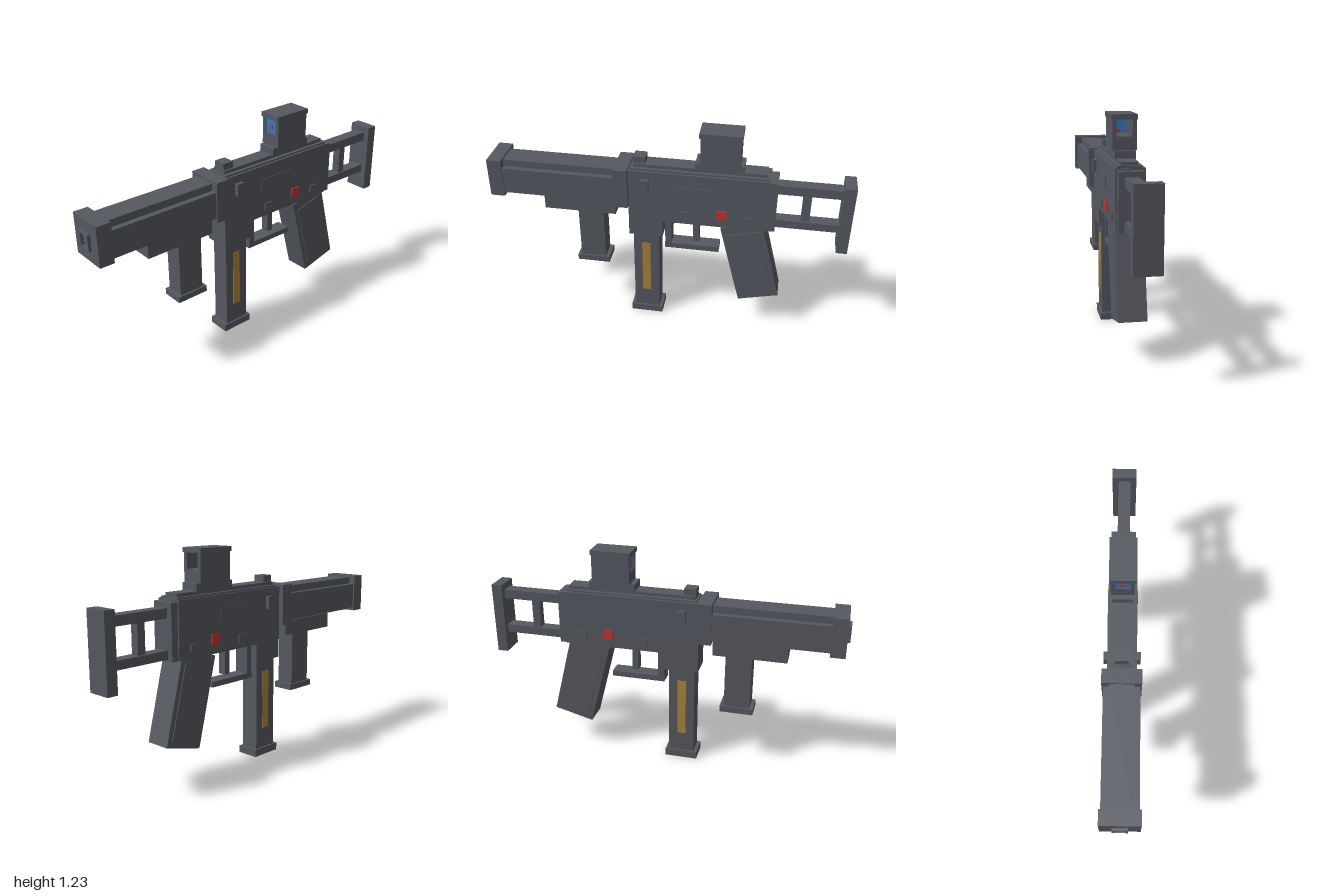
import * as THREE from 'three';

const mat = (name, color) => {
  const m = new THREE.MeshStandardMaterial({ color });
  m.name = name;
  return m;
};

export function createModel() {
  const gray = mat('gunmetal', 0x555860);
  const gold = mat('brass', 0xa8843c);
  const red = mat('red', 0xc03430);
  const blue = mat('lens blue', 0x3a78bc);
  const model = new THREE.Group();
  model.name = 'toyBlaster';

  const group = (name) => {
    const g = new THREE.Group();
    g.name = name;
    model.add(g);
    return g;
  };
  // Box from x and y ranges, centred on z with half width hz
  const box = (parent, name, x0, x1, y0, y1, hz, m = gray, z = 0) => {
    const b = new THREE.Mesh(new THREE.BoxGeometry(x1 - x0, y1 - y0, hz * 2), m);
    b.position.set((x0 + x1) / 2, (y0 + y1) / 2, z);
    b.name = name;
    parent.add(b);
    return b;
  };
  // Thin plate on both sides, from depth z0 out to z1
  const sides = (parent, name, x0, x1, y0, y1, z0, z1, m = gray) => {
    for (const s of [1, -1]) {
      box(parent, name, x0, x1, y0, y1, (z1 - z0) / 2, m, s * (z0 + z1) / 2);
    }
  };

  // Receiver with raised details
  const receiver = group('receiver');
  box(receiver, 'upperReceiver', -0.205, 0.56, 0.75, 0.98, 0.076);
  box(receiver, 'lowerReceiver', -0.2, 0.56, 0.67, 0.75, 0.072);
  box(receiver, 'magazineWell', -0.205, -0.015, 0.57, 0.75, 0.074);
  box(receiver, 'topPlate', -0.19, 0.553, 0.98, 0.99, 0.064);
  box(receiver, 'topRail', -0.18, 0.54, 0.99, 1.008, 0.044);
  box(receiver, 'rearPlate', 0.56, 0.6, 0.67, 0.97, 0.066);
  box(receiver, 'frontSight', -0.18, -0.115, 1.0, 1.045, 0.034);
  sides(receiver, 'ejectionPanel', 0.05, 0.27, 0.83, 0.905, 0.076, 0.08);
  sides(receiver, 'boltButton', -0.135, -0.09, 0.865, 0.935, 0.07, 0.097);
  for (const x of [0.105, 0.46]) {
    sides(receiver, 'pin', x - 0.024, x + 0.024, 0.705, 0.748, 0.07, 0.08);
  }
  sides(receiver, 'selector', 0.28, 0.337, 0.722, 0.777, 0.0765, 0.084, red);

  // Handguard: narrow core, wider side panels, collar and muzzle cap
  const handguard = group('handguard');
  box(handguard, 'core', -0.91, -0.27, 0.772, 0.975, 0.064);
  box(handguard, 'sidePanels', -0.91, -0.27, 0.785, 0.935, 0.096);
  box(handguard, 'collar', -0.28, -0.203, 0.76, 0.99, 0.104);
  box(handguard, 'muzzleCap', -0.985, -0.905, 0.765, 0.985, 0.104);
  for (const y of [0.83, 0.91]) box(handguard, 'boreFrame', -1, -0.985, y, y + 0.01, 0.04);
  sides(handguard, 'boreFrame', -1, -0.985, 0.84, 0.91, 0.03, 0.04);

  // Foregrip
  const foregrip = group('foregrip');
  box(foregrip, 'lowerRail', -0.69, -0.283, 0.683, 0.768, 0.06);
  box(foregrip, 'handle', -0.5, -0.355, 0.37, 0.685, 0.052);
  box(foregrip, 'foot', -0.52, -0.333, 0.34, 0.375, 0.062);

  // Magazine
  const magazine = group('magazine');
  box(magazine, 'magazineBody', -0.185, -0.038, 0.04, 0.58, 0.053);
  box(magazine, 'magazineFoot', -0.205, -0.02, 0, 0.042, 0.063);
  sides(magazine, 'brassStripe', -0.137, -0.089, 0.16, 0.5, 0.0525, 0.056, gold);

  // Trigger and guard
  const trigger = group('trigger');
  box(trigger, 'guardFront', -0.005, 0.03, 0.5, 0.68, 0.042);
  box(trigger, 'guardBottom', -0.007, 0.3, 0.477, 0.508, 0.042);
  box(trigger, 'triggerBlade', 0.15, 0.185, 0.525, 0.68, 0.024);

  // Slanted pistol grip with raised side panels
  const grip = group('grip');
  box(grip, 'gripBody', -0.116, 0.116, -0.25, 0.25, 0.072);
  box(grip, 'gripPanels', -0.088, 0.088, -0.212, 0.2, 0.077);
  grip.rotation.z = 0.25;
  grip.position.set(0.481, 0.447, 0);

  // Skeleton stock
  const stock = group('stock');
  box(stock, 'upperBar', 0.6, 0.945, 0.89, 0.942, 0.034);
  box(stock, 'lowerBar', 0.6, 0.945, 0.68, 0.727, 0.034);
  box(stock, 'post', 0.735, 0.78, 0.72, 0.895, 0.024);
  box(stock, 'buttPad', 0.94, 1, 0.57, 0.978, 0.068);

  // Box sight with an open tunnel and a lens at the front
  const scope = group('scope');
  box(scope, 'scopeMount', 0.157, 0.417, 1.005, 1.047, 0.053);
  box(scope, 'scopeBase', 0.183, 0.395, 1.047, 1.115, 0.062);
  sides(scope, 'scopeWall', 0.183, 0.395, 1.115, 1.2, 0.041, 0.062);
  box(scope, 'scopeRoof', 0.175, 0.4, 1.2, 1.226, 0.067);
  box(scope, 'lens', 0.19, 0.196, 1.115, 1.2, 0.041, blue);
  box(scope, 'rearDot', 0.196, 0.199, 1.115, 1.134, 0.013, red);
  box(scope, 'frontDot', 0.187, 0.19, 1.14, 1.16, 0.013, red);

  return model;
}
